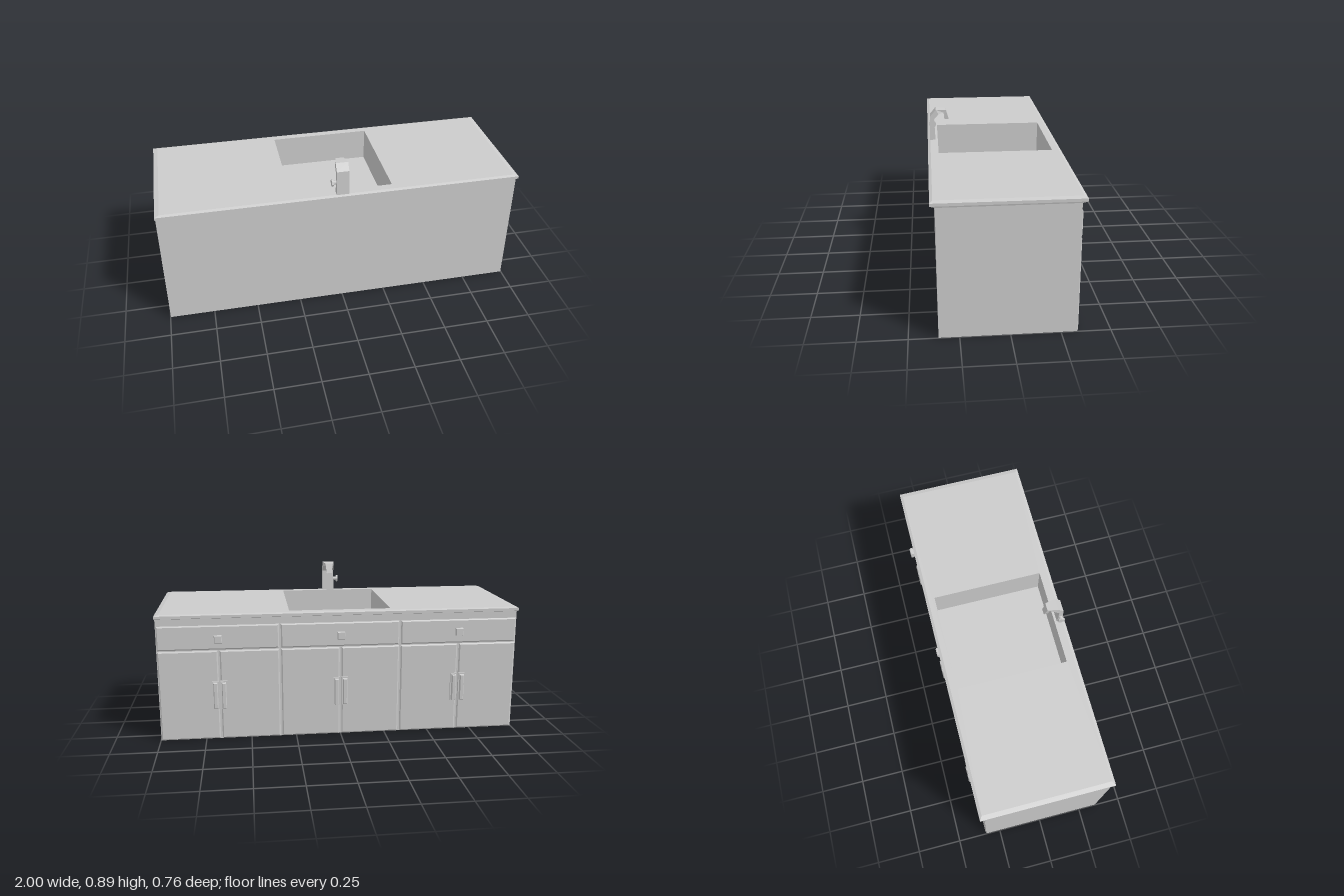
import * as THREE from 'three';

const material = new THREE.MeshStandardMaterial({ color: 0xcccccc, flatShading: true });

// Rectangle ring at height y, corners counter-clockwise seen from above
const rect = (x0, x1, z0, z1, y) => [[x0, y, z1], [x1, y, z1], [x1, y, z0], [x0, y, z0]];

// Skin a series of four-cornered rings, with optional end caps
function loft(name, rings, capStart = true, capEnd = true) {
  const pos = [];
  const quad = (a, b, c, d) => pos.push(...a, ...b, ...c, ...a, ...c, ...d);
  for (let r = 0; r < rings.length - 1; r++) {
    for (let i = 0; i < 4; i++) {
      const j = (i + 1) % 4;
      quad(rings[r][i], rings[r][j], rings[r + 1][j], rings[r + 1][i]);
    }
  }
  const first = rings[0], last = rings[rings.length - 1];
  if (capStart) quad(first[0], first[3], first[2], first[1]);
  if (capEnd) quad(...last);
  const geo = new THREE.BufferGeometry();
  geo.setAttribute('position', new THREE.Float32BufferAttribute(pos, 3));
  geo.computeVertexNormals();
  const mesh = new THREE.Mesh(geo, material);
  mesh.name = name;
  return mesh;
}

// Stepped block standing out of the back face; each step is [inset, distance towards the back]
function backBlock(name, x0, x1, y0, y1, steps) {
  const mesh = loft(name, steps.map(([s, d]) => rect(x0 + s, x1 - s, y0 + s, y1 - s, d)));
  mesh.rotation.x = -Math.PI / 2;
  return mesh;
}

function createFaucet() {
  const faucet = new THREE.Group();
  faucet.name = 'faucet';
  // Sections: outer z, y, inner z, y, half width
  const sections = [
    [0.365, 0.708, 0.333, 0.708, 0.034],
    [0.36, 0.85, 0.338, 0.832, 0.034],
    [0.328, 0.888, 0.312, 0.862, 0.034],
    [0.27, 0.884, 0.283, 0.868, 0.022],
    [0.254, 0.826, 0.279, 0.829, 0.016],
  ];
  faucet.add(loft('spout', sections.map(([zo, yo, zi, yi, w]) =>
    [[-w, yo, zo], [w, yo, zo], [w, yi, zi], [-w, yi, zi]])));
  // Lever on the side of the spout
  for (const [name, radius, length, x] of [['leverStem', 0.011, 0.03, -0.042], ['leverKnob', 0.021, 0.009, -0.056]]) {
    const part = new THREE.Mesh(new THREE.CylinderGeometry(radius, radius, length, 8), material);
    part.name = name;
    part.rotation.z = Math.PI / 2;
    part.position.set(x, 0.78, 0.347);
    faucet.add(part);
  }
  faucet.position.x = -0.004;
  return faucet;
}

export function createModel() {
  const model = new THREE.Group();
  model.name = 'sinkCabinet';

  // Cabinet box, open at the top under the counter
  const bodyTop = rect(-0.998, 0.998, -0.33, 0.353, 0.683);
  model.add(loft('cabinet', [rect(-0.998, 0.998, -0.33, 0.353, 0), bodyTop], true, false));

  // Chamfered countertop running in to the basin rim
  const rim = rect(-0.28, 0.28, -0.305, 0.32, 0.711);
  model.add(loft('countertop', [
    bodyTop,
    rect(-1, 1, -0.357, 0.378, 0.69),
    rect(-1, 1, -0.357, 0.378, 0.705),
    rect(-0.975, 0.975, -0.342, 0.363, 0.711),
    rim,
  ], false, false));
  model.add(loft('basin', [rim, rect(-0.28, 0.28, -0.305, 0.32, 0.525)], false, true));
  model.add(createFaucet());

  // Three bays, each with a drawer, a knob and two doors with handles
  const panel = [[0, 0.328], [0, 0.332], [0.007, 0.337]];
  const bay = 2 / 3, gap = 0.005;
  [-1, 0, 1].forEach((i) => {
    const cx = i * bay, half = bay / 2;
    model.add(backBlock('drawer', cx - half + gap, cx + half - gap, 0.511, 0.645, panel));

    const reach = 0.368 + i * 0.01;
    model.add(backBlock('drawerKnob', cx - 0.021, cx + 0.021, 0.555, 0.597,
      [[0.008, 0.335], [0.008, reach - 0.027], [0, reach - 0.018], [0, reach - 0.005], [0.003, reach]]));

    for (const side of [-1, 1]) {
      const xs = [cx + side * gap, cx + side * (half - gap)].sort((a, b) => a - b);
      model.add(backBlock('door', xs[0], xs[1], 0.001, 0.505, panel));
      const hx = cx + side * 0.023;
      model.add(backBlock('doorHandle', hx - 0.018, hx + 0.018, 0.175, 0.335,
        [[0, 0.335], [0, 0.347], [0.006, 0.347], [0.006, 0.357], [0.01, 0.362]]));
    }
  });
  return model;
}
